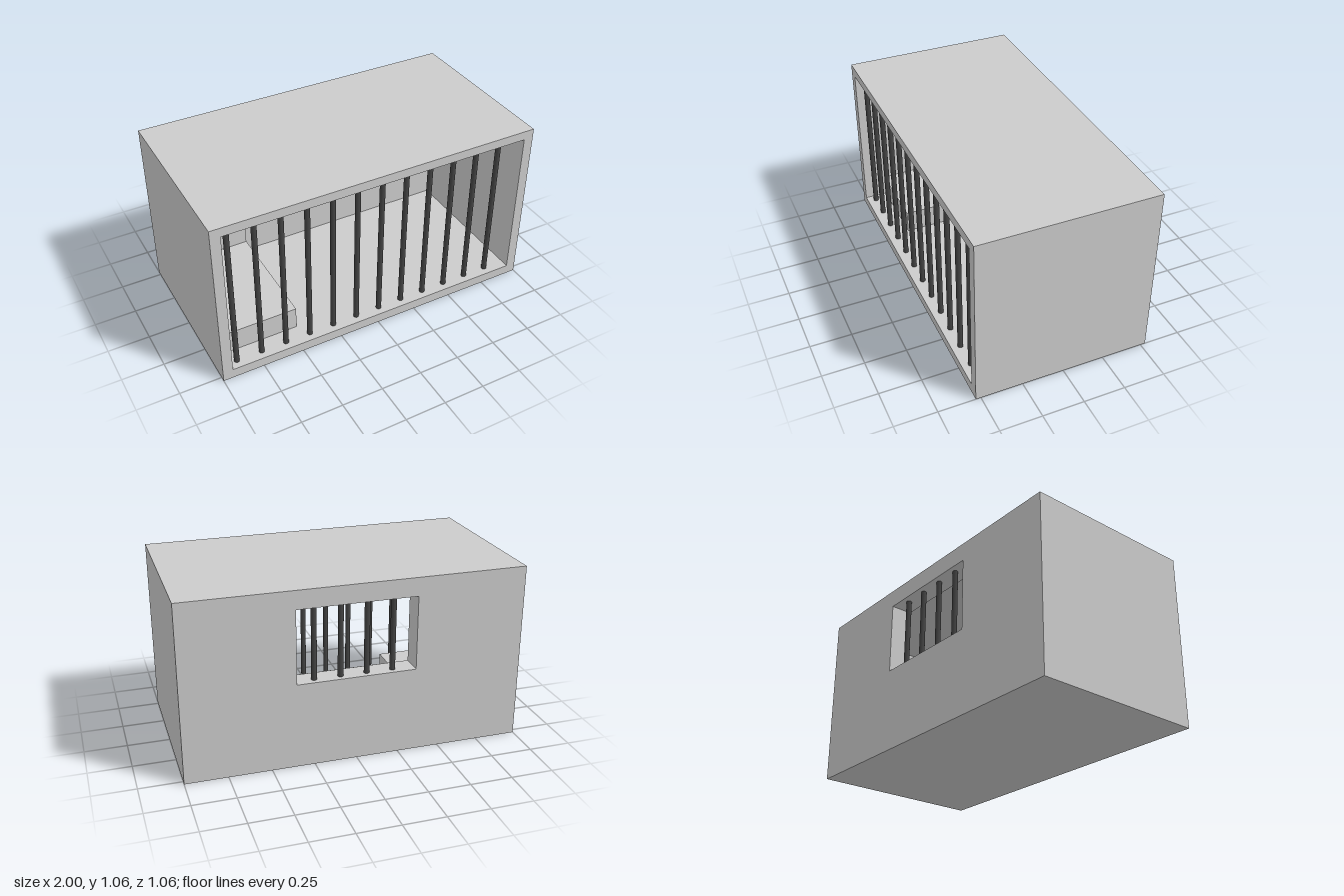
import * as THREE from 'three';

const W = 2, H = 1.06, D = 1.06;   // outer size of the cell
const WALL = 0.06, BACK = 0.13;    // side wall and back wall thickness
const BAR_R = 0.016;

const grey = new THREE.MeshStandardMaterial({ color: 0xcccccc });
const dark = new THREE.MeshStandardMaterial({ color: 0x444444 });

function rect(Type, x0, y0, x1, y1) {
  return new Type([[x0, y0], [x1, y0], [x1, y1], [x0, y1]].map(([x, y]) => new THREE.Vector2(x, y)));
}

// Rectangular slab facing z with a rectangular opening
function slab(name, hole, z0, z1) {
  const shape = rect(THREE.Shape, -W / 2, 0, W / 2, H);
  shape.holes.push(rect(THREE.Path, ...hole));
  const mesh = new THREE.Mesh(
    new THREE.ExtrudeGeometry(shape, { depth: z1 - z0, bevelEnabled: false }), grey);
  mesh.name = name;
  mesh.position.z = z0;
  return mesh;
}

function box(name, x0, x1, y0, y1, z0, z1) {
  const mesh = new THREE.Mesh(new THREE.BoxGeometry(x1 - x0, y1 - y0, z1 - z0), grey);
  mesh.name = name;
  mesh.position.set((x0 + x1) / 2, (y0 + y1) / 2, (z0 + z1) / 2);
  return mesh;
}

// Evenly spaced row of upright bars
function barRow(name, count, x0, step, y0, y1, z) {
  const row = new THREE.Group();
  row.name = name;
  const geometry = new THREE.CylinderGeometry(BAR_R, BAR_R, y1 - y0, 24);
  for (let i = 0; i < count; i++) {
    const bar = new THREE.Mesh(geometry, dark);
    bar.name = 'bar';
    bar.position.set(x0 + i * step, (y0 + y1) / 2, z);
    row.add(bar);
  }
  return row;
}

export function createModel() {
  const model = new THREE.Group();
  model.name = 'prisonCell';
  const zBack = -D / 2 + BACK;

  // Floor, ceiling and side walls as one tube, open at the front
  model.add(slab('cellShell', [-W / 2 + WALL, 0.06, W / 2 - WALL, 1.005], zBack, D / 2));
  // Back wall with its window
  model.add(slab('backWall', [-0.35, 0.51, 0.35, 0.95], -D / 2, zBack));

  // Bars run into the surrounding slabs
  model.add(barRow('frontBars', 12, -0.893, 0.154, 0.002, H - 0.002, 0.475));
  model.add(barRow('windowBars', 4, -0.222, 0.154, 0.48, 0.98, -0.485));

  // Bunk along the right wall with a raised head block
  const bunk = new THREE.Group();
  bunk.name = 'bunk';
  bunk.add(box('bed', -0.935, -0.475, 0.05, 0.2, zBack, 0.39));
  bunk.add(box('headBlock', -0.935, -0.475, 0.2, 0.327, zBack, -0.315));
  model.add(bunk);

  return model;
}
